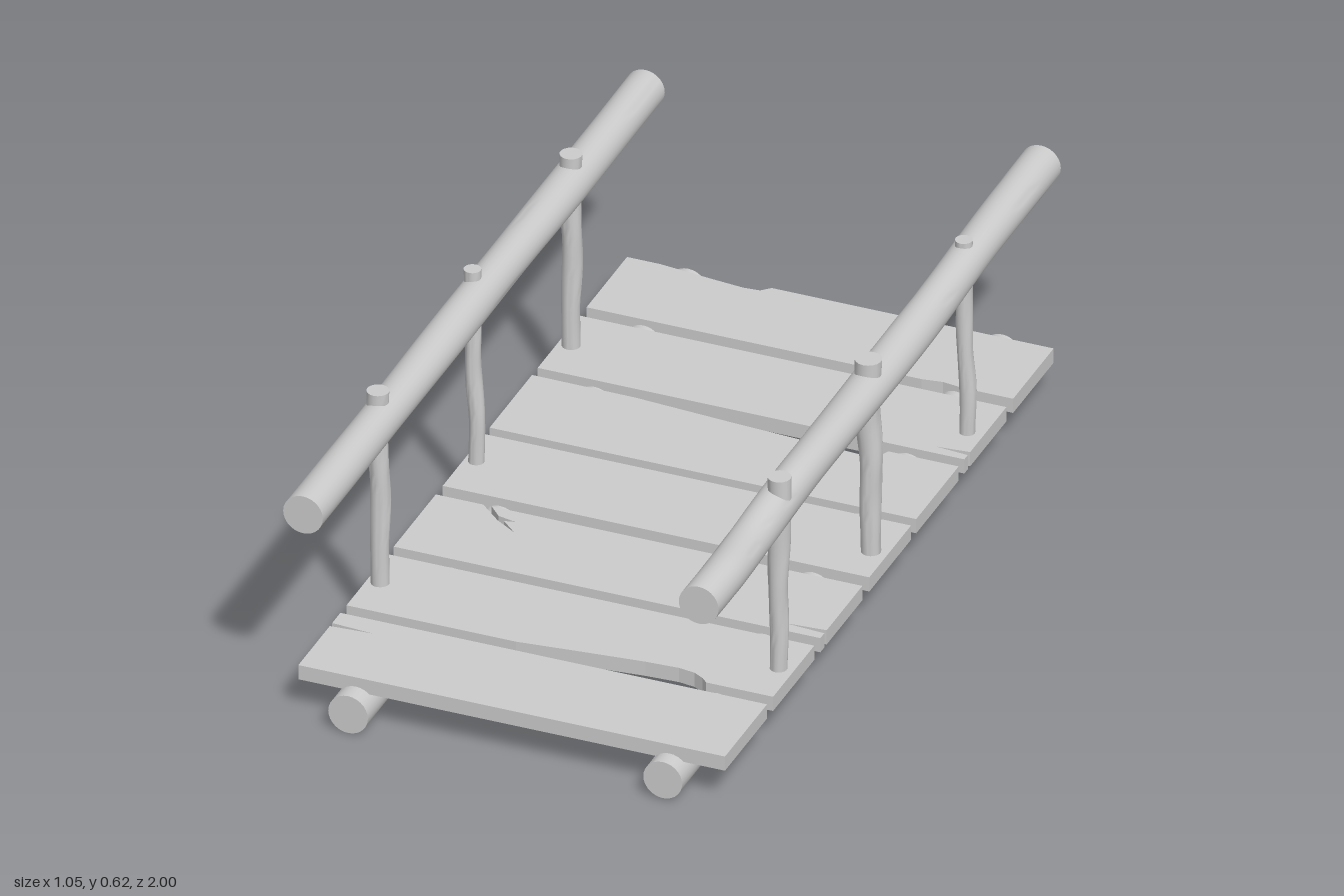
import * as THREE from 'three';
import { toCreasedNormals } from 'three/addons/utils/BufferGeometryUtils.js';

const LEFT = -0.51, RIGHT = 0.522, DECK_TOP = 0.122, THICK = 0.037;

export function createModel() {
  const group = new THREE.Group();
  const material = new THREE.MeshStandardMaterial({ color: 0xcccccc });

  const add = (name, geometry) => {
    const mesh = new THREE.Mesh(geometry, material);
    mesh.name = name;
    group.add(mesh);
  };

  // Uneven round timber through sections [x, y, z, radius]:
  // along 'y' listed from the foot up, along 'z' listed from front to back
  function log(name, axis, sections, sides, rings, wobble) {
    const curve = new THREE.CatmullRomCurve3(sections.map(s => new THREE.Vector3(s[0], s[1], s[2])));
    const geo = new THREE.CylinderGeometry(1, 1, 1, sides, rings);
    if (axis === 'z') geo.rotateX(Math.PI / 2);
    const pos = geo.attributes.position;
    const v = new THREE.Vector3(), c = new THREE.Vector3();
    for (let i = 0; i < pos.count; i++) {
      v.fromBufferAttribute(pos, i);
      const t = THREE.MathUtils.clamp(axis === 'z' ? 0.5 - v.z : 0.5 + v.y, 0, 1);
      const k = Math.min(Math.floor(t * (sections.length - 1)), sections.length - 2);
      const f = t * (sections.length - 1) - k;
      const angle = axis === 'z' ? Math.atan2(v.y, v.x) : Math.atan2(v.z, v.x);
      const bump = 1 + wobble * Math.sin(Math.PI * t) * Math.sin(2 * angle + t * 17 + sections[0][0] * 9);
      const r = THREE.MathUtils.lerp(sections[k][3], sections[k + 1][3], f) * bump;
      curve.getPoint(t, c);
      v[axis] = 0;
      v.multiplyScalar(r).add(c);
      pos.setXYZ(i, v.x, v.y, v.z);
    }
    add(name, toCreasedNormals(geo, 0.7));
  }

  // Deck board: worn edges are lists of [x, z]; end splits are [z, depth]
  function plank(z0, z1, { back = [], front = [], left = [], right = [] } = {}) {
    const split = (x, dir) => ([z, depth]) =>
      [[x, z - dir * 0.007], [x - dir * depth, z], [x, z + dir * 0.007]];
    const outline = [
      [LEFT, z0], ...back, [RIGHT, z0],
      ...right.flatMap(split(RIGHT, 1)),
      [RIGHT, z1], ...front, [LEFT, z1],
      ...left.flatMap(split(LEFT, -1)),
    ];
    const shape = new THREE.Shape(outline.map(p => new THREE.Vector2(p[0], p[1])));
    const geo = new THREE.ExtrudeGeometry(shape, { depth: THICK, bevelEnabled: false });
    geo.rotateX(Math.PI / 2).translate(0, DECK_TOP, 0);
    add('plank', geo);
  }

  // Seven deck planks, back to front
  plank(-0.963, -0.727, {
    back: [[-0.43, -0.963], [-0.3, -0.948], [-0.22, -0.94], [-0.18, -0.943], [-0.16, -0.963]],
    front: [[0.4, -0.727], [0.35, -0.734], [0.3, -0.727]],
  });
  plank(-0.688, -0.443, { right: [[-0.47, 0.08]] });
  plank(-0.41, -0.163, {
    back: [[-0.26, -0.408], [0.0, -0.39], [0.31, -0.373], [0.34, -0.383], [0.352, -0.41]],
  });
  plank(-0.133, 0.11);
  plank(0.15, 0.395, {
    back: [[-0.395, 0.15], [-0.34, 0.2], [-0.285, 0.235], [-0.325, 0.198], [-0.3, 0.192],
      [-0.345, 0.182], [-0.375, 0.15]],
    right: [[0.365, 0.1]],
  });
  plank(0.43, 0.67, {
    front: [[0.36, 0.67], [0.345, 0.655], [0.32, 0.641], [0.28, 0.635], [0.2, 0.639], [0.05, 0.654], [-0.1, 0.67]],
  });
  plank(0.705, 0.95, { left: [[0.76, 0.1]] });

  // Two beams below the deck
  log('beam', 'z', [[-0.371, 0.05, 0.995, 0.048], [-0.371, 0.055, 0, 0.047], [-0.373, 0.061, -0.99, 0.047]], 28, 12, 0.01);
  log('beam', 'z', [[0.388, 0.052, 0.99, 0.047], [0.386, 0.057, 0, 0.047], [0.384, 0.062, -0.995, 0.047]], 28, 12, 0.01);

  // Handrails
  log('handrail', 'z', [
    [-0.478, 0.549, 1, 0.048], [-0.479, 0.547, 0.6, 0.047], [-0.479, 0.55, 0.2, 0.047],
    [-0.48, 0.55, -0.2, 0.047], [-0.479, 0.549, -0.6, 0.047], [-0.479, 0.552, -0.995, 0.047],
  ], 28, 40, 0.02);
  log('handrail', 'z', [
    [0.475, 0.528, 0.99, 0.048], [0.477, 0.53, 0.85, 0.049], [0.474, 0.531, 0.7, 0.046],
    [0.475, 0.545, 0.45, 0.049], [0.474, 0.545, 0.05, 0.047], [0.475, 0.55, -0.35, 0.047],
    [0.475, 0.566, -0.65, 0.047], [0.476, 0.572, -1, 0.048],
  ], 28, 48, 0.04);

  // Posts: [top x, top z, foot x, top radius, foot radius]
  const posts = [
    [-0.48, -0.565, -0.478, 0.026, 0.021], [-0.492, -0.02, -0.482, 0.02, 0.018],
    [-0.485, 0.547, -0.478, 0.026, 0.021], [0.473, -0.558, 0.482, 0.02, 0.018],
    [0.474, 0, 0.482, 0.031, 0.023], [0.486, 0.547, 0.485, 0.027, 0.02],
  ];
  posts.forEach(([x, z, footX, r, footR], i) => {
    const bend = (i % 2 ? 1 : -1) * 0.002;
    log('post', 'y', [
      [footX, 0.1, z + 0.003, footR], [footX + bend, 0.23, z + 0.002, footR + 0.001],
      [(x + footX) / 2 - bend, 0.36, z + bend, (r + footR) / 2],
      [x + bend, 0.49, z, r * 0.93], [x, 0.62, z, r],
    ], 18, 20, 0.05);
  });

  return group;
}
